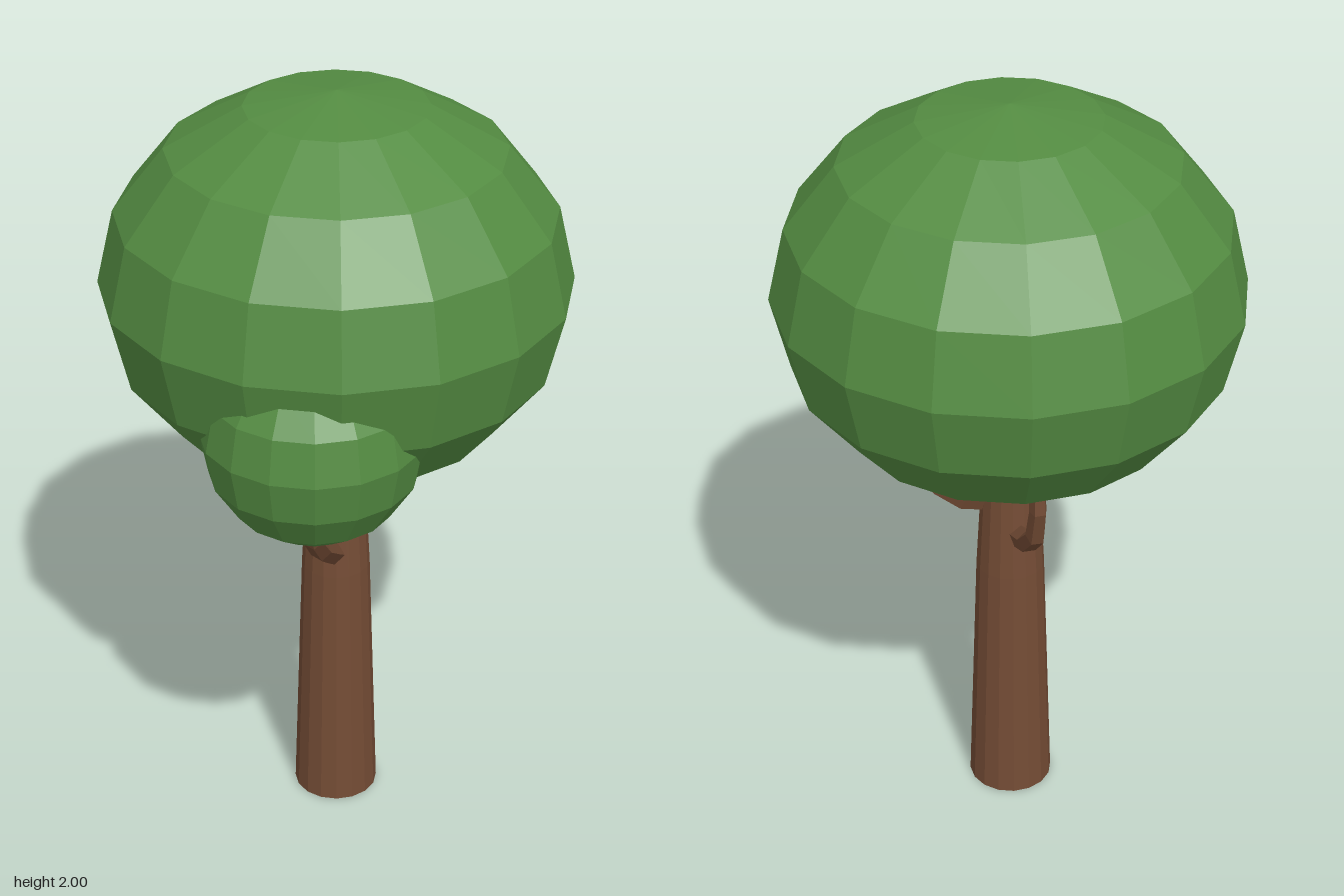
import * as THREE from 'three';

const bark = new THREE.MeshStandardMaterial({ color: 0x744c35, flatShading: true });
const leaf = new THREE.MeshStandardMaterial({ color: 0x548c42, flatShading: true });

// Faceted ball of leaves
function foliage(name, center, radii) {
  const geo = new THREE.SphereGeometry(1, 16, 8);
  geo.scale(...radii);
  const mesh = new THREE.Mesh(geo, leaf);
  mesh.name = name;
  mesh.position.set(...center);
  return mesh;
}

// Five-sided bent branch that tapers from base to tip
function branch(name, points, baseRadius, tipRadius) {
  const curve = new THREE.CatmullRomCurve3(points.map(p => new THREE.Vector3(...p)));
  const rings = 4, sides = 5;
  const geo = new THREE.TubeGeometry(curve, rings, baseRadius, sides);
  const pos = geo.attributes.position;
  const v = new THREE.Vector3();
  for (let i = 0; i <= rings; i++) {
    const c = curve.getPointAt(i / rings);
    const scale = THREE.MathUtils.lerp(1, tipRadius / baseRadius, i / rings);
    for (let j = 0; j <= sides; j++) {
      const k = i * (sides + 1) + j;
      v.fromBufferAttribute(pos, k).sub(c).multiplyScalar(scale).add(c);
      pos.setXYZ(k, v.x, v.y, v.z);
    }
  }
  geo.computeVertexNormals();
  const mesh = new THREE.Mesh(geo, bark);
  mesh.name = name;
  return mesh;
}

export function createModel() {
  const tree = new THREE.Group();
  tree.name = 'tree';

  // Trunk, narrowing upward and closed at both ends
  const profile = [[0, 0], [0.11, 0], [0.088, 0.7], [0.068, 1.06], [0, 1.06]];
  const trunk = new THREE.Mesh(
    new THREE.LatheGeometry(profile.map(p => new THREE.Vector2(...p)), 16), bark);
  trunk.name = 'trunk';
  trunk.position.z = -0.012;
  tree.add(trunk);

  // Branches reaching up into the leaves
  tree.add(
    branch('frontBranch',
      [[0.015, 0.75, 0.03], [0.03, 0.81, 0.12], [0.05, 0.88, 0.22], [0.065, 0.99, 0.32], [0.07, 1.06, 0.34]], 0.032, 0.022),
    branch('leftBranch',
      [[0.04, 0.9, -0.03], [0.12, 0.92, -0.08], [0.18, 1.01, -0.13], [0.2, 1.12, -0.16]], 0.032, 0.02),
    branch('rightBranch',
      [[-0.04, 0.82, -0.06], [-0.1, 0.88, -0.16], [-0.135, 0.97, -0.215], [-0.135, 1.12, -0.22]], 0.032, 0.02),
  );

  // Large crown and the small clump at the front
  tree.add(
    foliage('crown', [0, 1.51, -0.015], [0.58, 0.49, 0.58]),
    foliage('smallClump', [0.075, 1.285, 0.325], [0.272, 0.28, 0.272]),
  );
  return tree;
}
